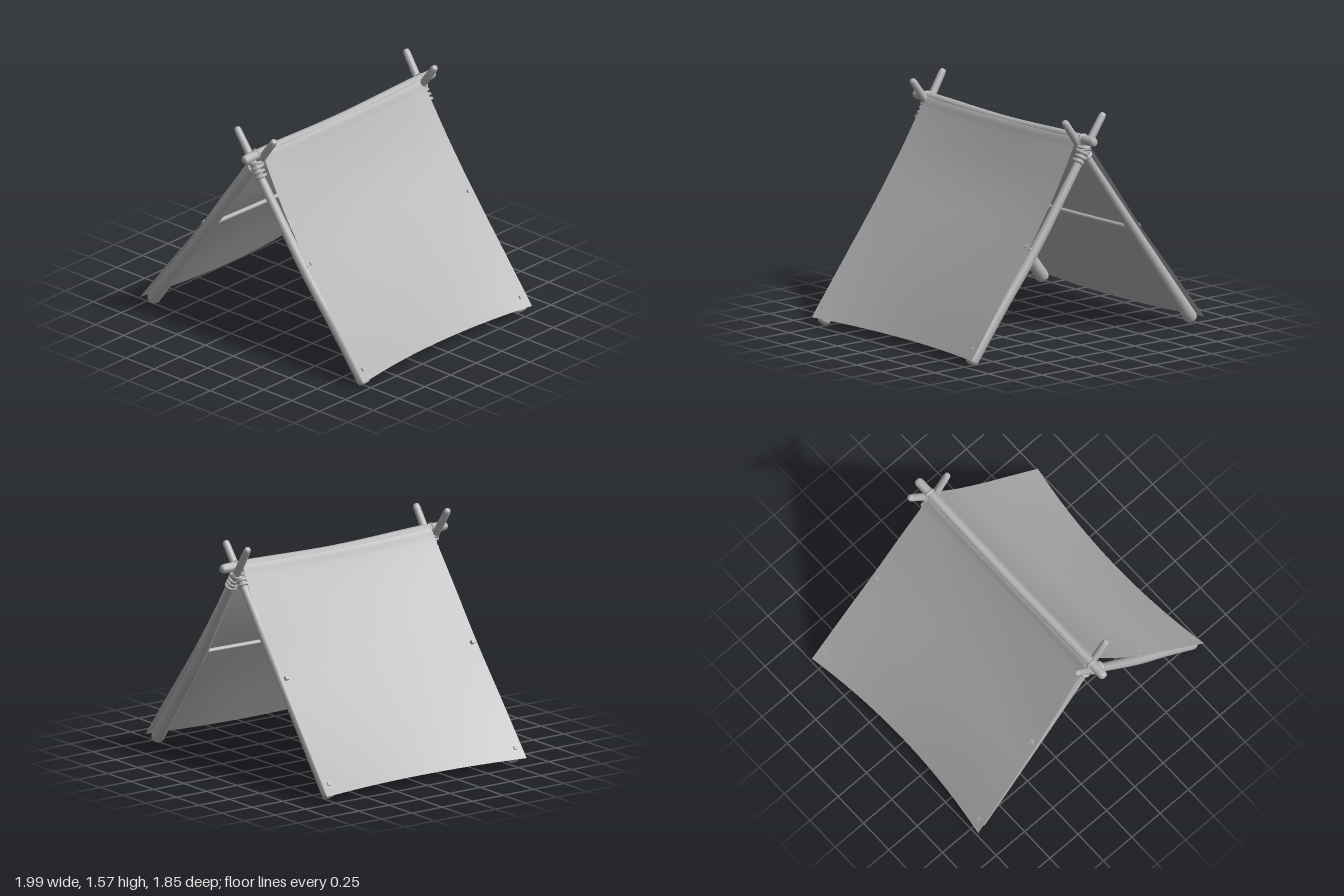
import * as THREE from 'three';

const grey = new THREE.MeshStandardMaterial({ color: 0xb4b4b4, side: THREE.DoubleSide });
grey.name = 'plain grey';

const V = (x, y, z) => new THREE.Vector3(x, y, z);

// Smooth grid surface from a point rule f(i, j)
function gridGeometry(rows, cols, f) {
  const pos = [], index = [];
  for (let i = 0; i <= rows; i++) {
    for (let j = 0; j <= cols; j++) {
      const p = f(i, j);
      pos.push(p.x, p.y, p.z);
      if (i < rows && j < cols) {
        const a = i * (cols + 1) + j, b = a + cols + 1;
        index.push(a, a + 1, b, b, a + 1, b + 1);
      }
    }
  }
  const g = new THREE.BufferGeometry();
  g.setAttribute('position', new THREE.Float32BufferAttribute(pos, 3));
  g.setIndex(index);
  g.computeVertexNormals();
  return g;
}

// Tapered branch along a curve, with blunt rounded ends
function branchGeometry(points, r0, r1, sides = 14) {
  const curve = new THREE.CatmullRomCurve3(points);
  const rings = [[0, 0], [0, 0.62], [0.004, 0.85], [0.013, 1]];
  for (let i = 1; i < 24; i++) rings.push([0.013 + (i / 24) * 0.974, 1]);
  rings.push([0.987, 1], [0.996, 0.85], [1, 0.62], [1, 0]);
  return gridGeometry(rings.length - 1, sides, (i, j) => {
    const [t, k] = rings[i];
    const tan = curve.getTangentAt(t);
    const ref = Math.abs(tan.z) > 0.8 ? V(0, 1, 0) : V(0, 0, 1);
    const n = ref.cross(tan).normalize();
    const b = tan.clone().cross(n);
    const a = (j % sides) / sides * Math.PI * 2;
    const r = k * (r0 + (r1 - r0) * t);
    return curve.getPointAt(t).addScaledVector(n, Math.cos(a) * r).addScaledVector(b, Math.sin(a) * r);
  });
}

export function createModel() {
  const model = new THREE.Group();
  model.name = 'leanTent';
  const add = (name, geometry) => {
    const m = new THREE.Mesh(geometry, grey);
    m.name = name;
    model.add(m);
    return m;
  };

  // Rope turn around a pole
  const ring = (name, at, dir, radius, tube = 0.012) => {
    const m = add(name, new THREE.TorusGeometry(radius, tube, 8, 20));
    m.position.copy(at);
    m.quaternion.setFromUnitVectors(V(0, 0, 1), dir.clone().normalize());
  };

  // Crossed poles and lashings at both ends
  for (const s of [1, -1]) {
    const end = s > 0 ? 'front' : 'back';
    add(end + 'RightPole', branchGeometry(
      [V(-0.945, 0.035, 0.76 * s), V(-0.42, 0.74, 0.77 * s), V(-0.015, 1.29, 0.777 * s), V(0.17, 1.545, 0.782 * s)],
      0.045, 0.024));
    add(end + 'LeftPole', branchGeometry(
      [V(0.955, 0.022, 0.76 * s), V(0.7, 0.36, 0.77 * s), V(0.445, 0.69, 0.785 * s), V(0.06, 1.27, 0.81 * s), V(-0.135, 1.565, 0.822 * s)],
      0.045, 0.024));
    const dirA = V(0.59, 0.81, 0.01 * s), dirB = V(-0.55, 0.83, 0.03 * s);
    for (let i = 0; i < 3; i++) {
      const d = i * 0.032;
      ring(end + 'LeftLashing', V(0.072 - d * 0.55, 1.265 + d * 0.83, 0.808 * s), dirB, 0.032);
      ring(end + 'RightLashing', V(-0.025 + d * 0.59, 1.285 + d * 0.81, 0.778 * s), dirA, 0.03);
    }
    // Rope binding the crossing and the ridge pole
    for (const tilt of [-0.3, 0.3]) {
      const m = add(end + 'CrossLashing', new THREE.TorusGeometry(0.042, 0.012, 8, 20));
      m.position.set(0.02, 1.35, 0.797 * s);
      m.rotation.set(Math.PI / 2, tilt, 0);
    }
    ring(end + 'RidgeLashing', V(0.022, 1.405, 0.8 * s), V(0, 0, 1), 0.03);
  }

  // Ridge pole, sagging slightly
  add('ridgePole', branchGeometry(
    [V(0.024, 1.405, 0.925), V(0.024, 1.408, 0.75), V(0.022, 1.39, 0), V(0.024, 1.408, -0.75), V(0.024, 1.405, -0.925)],
    0.032, 0.032));

  // Side rails under the cloth
  for (const s of [1, -1]) {
    add(s > 0 ? 'leftRail' : 'rightRail', branchGeometry(
      [V(0.458 * s, 0.722, 0.79), V(0.435 * s, 0.722, 0), V(0.458 * s, 0.722, -0.79)], 0.015, 0.015, 10));
  }

  // Cloth draped over the ridge; the sides pull in between the corners
  const profile = new THREE.CatmullRomCurve3([
    V(-0.998, 0.058, 0), V(-0.735, 0.4, 0), V(-0.47, 0.742, 0), V(-0.245, 1.065, 0), V(-0.05, 1.35, 0),
    V(-0.012, 1.415, 0), V(0.023, 1.438, 0), V(0.058, 1.415, 0),
    V(0.095, 1.35, 0), V(0.265, 1.065, 0), V(0.485, 0.742, 0), V(0.74, 0.4, 0), V(0.996, 0.058, 0)]);
  const rows = 48, cols = 24;
  add('cloth', gridGeometry(rows, cols, (i, j) => {
    const p = profile.getPoint(i / rows);
    const v = (j / cols) * 2 - 1;
    const slack = 1 - v * v;
    const down = THREE.MathUtils.clamp((1.42 - p.y) / 1.36, 0, 1);
    const pull = 0.02 * Math.min(1, down * 2) + 0.052 * Math.max(0, down * 2 - 1) ** 1.5
      + 0.012 * Math.sin(Math.min(1, down * 2) * Math.PI);
    const halfZ = 0.77 + 0.05 * Math.sqrt(down);
    return V(p.x - Math.sign(p.x) * pull * slack, p.y - 0.018 * (1 - down) * slack, v * halfZ);
  }));

  // Square eyelets at the corners and along the rails
  for (const sx of [1, -1]) {
    for (const sz of [1, -1]) {
      for (const [x, y, h] of [[0.478, 0.742, 0.022], [0.946, 0.123, 0.009]]) {
        const m = add('eyelet', new THREE.BoxGeometry(0.024, h, 0.024));
        m.position.set(x * sx, y + 0.004, 0.765 * sz);
        m.rotation.z = -sx * 0.91;
      }
    }
  }
  return model;
}
